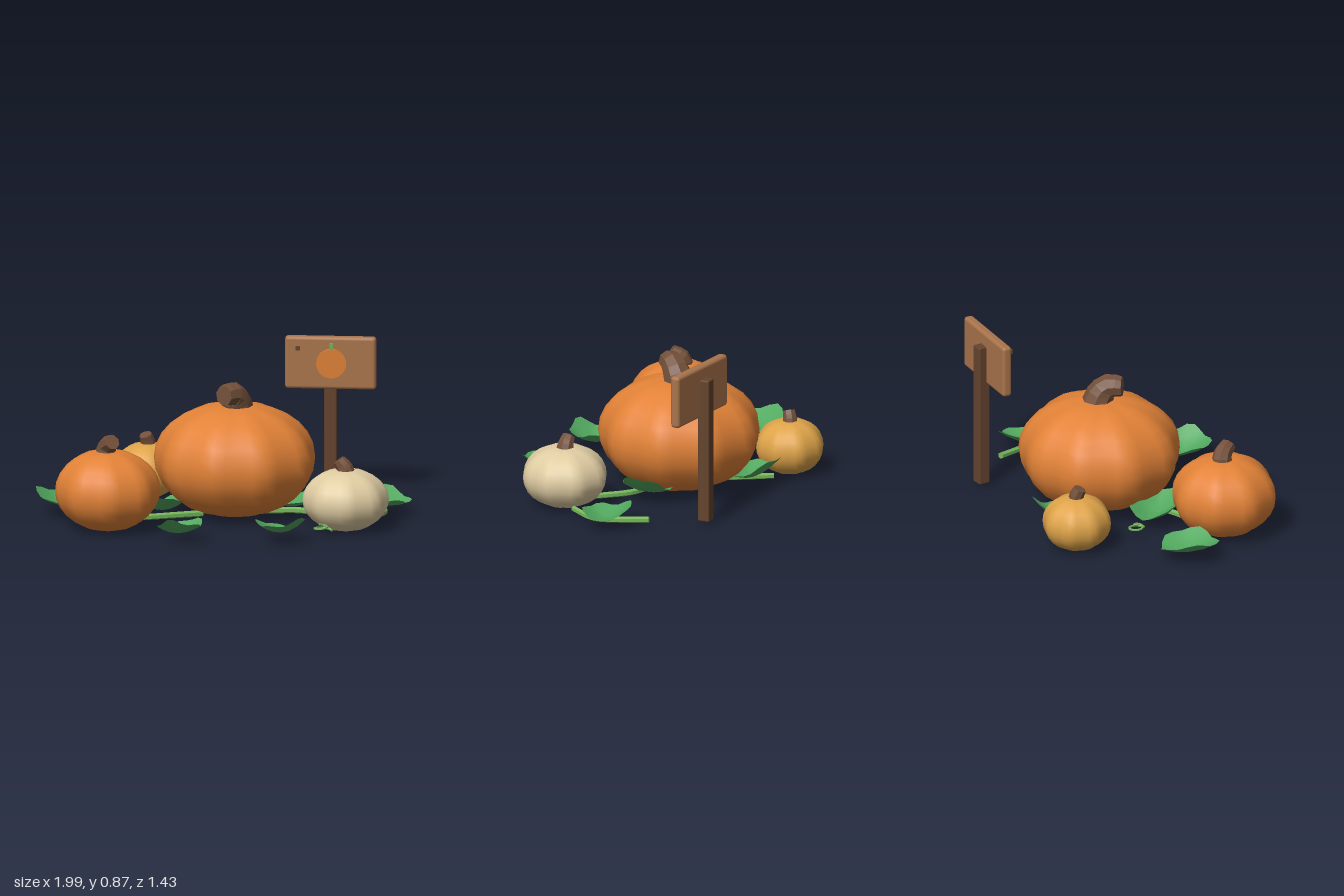
import * as THREE from 'three';
import { mergeVertices } from 'three/addons/utils/BufferGeometryUtils.js';
import { RoundedBoxGeometry } from 'three/addons/geometries/RoundedBoxGeometry.js';

const V = (p) => new THREE.Vector3(...p);

function makeMaterials() {
  const colors = {
    orange: 0xe28237, cream: 0xdfcca2, amber: 0xdea349, stemBrown: 0x73503a,
    postBrown: 0x66442f, boardBrown: 0xa9744c, leafGreen: 0x52a85f, vineGreen: 0x74b45a,
  };
  const mats = {};
  for (const [name, color] of Object.entries(colors)) {
    mats[name] = new THREE.MeshStandardMaterial({ color });
    mats[name].name = name;
  }
  mats.leafGreen.side = THREE.DoubleSide;
  return mats;
}

// Joins split seams and gives smooth normals
function smooth(geometry) {
  geometry.deleteAttribute('uv');
  geometry.deleteAttribute('normal');
  const g = mergeVertices(geometry, 1e-4);
  g.computeVertexNormals();
  return g;
}

// Ribbed body: a lathe whose vertices are pulled in at the grooves
function pumpkinGeometry(radius, height, ribs, turn) {
  const rows = 14, profile = [];
  for (let i = 0; i <= rows; i++) {
    const a = (i / rows - 0.5) * Math.PI;
    const r = i % rows === 0 ? 0 : radius * Math.pow(Math.cos(a), 0.92);
    let y = height / 2 * (1 + Math.sin(a));
    if (i === rows) y -= height * 0.03;
    if (i === 0) y += height * 0.02;
    profile.push(new THREE.Vector2(r, y));
  }
  const g = new THREE.LatheGeometry(profile, ribs * 4);
  const p = g.attributes.position;
  for (let i = 0; i < p.count; i++) {
    const x = p.getX(i), z = p.getZ(i);
    const rib = Math.abs(Math.cos((Math.atan2(x, z) + turn) * ribs / 2));
    const k = 1 - 0.075 * (1 - rib);
    p.setXYZ(i, x * k, p.getY(i), z * k);
  }
  return smooth(g);
}

// Tapered tube through points, closed at both ends
function taperedTube(points, r0, r1, sides, steps) {
  const curve = new THREE.CatmullRomCurve3(points.map(V));
  const g = new THREE.TubeGeometry(curve, steps, 1, sides);
  const p = g.attributes.position, v = new THREE.Vector3();
  for (let i = 0; i <= steps; i++) {
    const c = curve.getPointAt(i / steps);
    const r = r0 + (r1 - r0) * i / steps;
    for (let j = 0; j <= sides; j++) {
      const k = i * (sides + 1) + j;
      v.fromBufferAttribute(p, k).sub(c).multiplyScalar(r).add(c);
      p.setXYZ(k, v.x, v.y, v.z);
    }
  }
  const index = Array.from(g.index.array);
  const pos = Array.from(p.array);
  for (const i of [0, steps]) {
    const c = curve.getPointAt(i / steps);
    const centre = pos.push(c.x, c.y, c.z) / 3 - 1;
    for (let j = 0; j < sides; j++) {
      const a = i * (sides + 1) + j;
      index.push(centre, ...(i === 0 ? [a, a + 1] : [a + 1, a]));
    }
  }
  const out = new THREE.BufferGeometry();
  out.setAttribute('position', new THREE.Float32BufferAttribute(pos, 3));
  out.setIndex(index);
  const flat = out.toNonIndexed();
  flat.computeVertexNormals();
  return flat;
}

// Cupped, wavy five-lobed leaf, rising along (slopeX, slopeZ)
function leafGeometry(radius, turn, lift, slopeX, slopeZ) {
  const g = new THREE.RingGeometry(0.001, 1, 20, 3);
  g.rotateX(-Math.PI / 2);
  const p = g.attributes.position;
  for (let i = 0; i < p.count; i++) {
    const x = p.getX(i), z = p.getZ(i);
    const t = Math.hypot(x, z), a = Math.atan2(z, x) + turn;
    const k = radius * (0.96 + 0.06 * t * Math.cos(5 * a));
    const cup = 0.75 * t * t + 0.3 * t * t * Math.sin(2 * a) + 0.12 * t * t * Math.cos(5 * a);
    p.setXYZ(i, x * k, lift * cup + k * (x * slopeX + z * slopeZ), z * k);
  }
  return smooth(g);
}

export function createModel() {
  const group = new THREE.Group();
  group.name = 'pumpkinPatch';
  const M = makeMaterials();
  const add = (name, geometry, material, x = 0, y = 0, z = 0) => {
    const mesh = new THREE.Mesh(geometry, material);
    mesh.name = name;
    mesh.position.set(x, y, z);
    group.add(mesh);
    return mesh;
  };

  // Pumpkins with bent stems (stem points are world positions)
  const pumpkins = [
    { name: 'large', at: [0.06, -0.1], r: 0.435, h: 0.6, ribs: 9, turn: Math.PI, mat: M.orange, radii: [0.09, 0.054],
      stem: [[0.075, 0.55, -0.11], [0.068, 0.62, -0.09], [0.045, 0.665, -0.055], [-0.005, 0.668, 0]] },
    { name: 'medium', at: [-0.634, 0.232], r: 0.28, h: 0.43, ribs: 8, turn: 0, mat: M.orange, radii: [0.058, 0.042],
      stem: [[-0.645, 0.39, 0.215], [-0.638, 0.45, 0.22], [-0.612, 0.487, 0.275]] },
    { name: 'cream', at: [0.627, 0.305], r: 0.23, h: 0.33, ribs: 8, turn: 0, mat: M.cream, radii: [0.056, 0.034],
      stem: [[0.63, 0.29, 0.305], [0.62, 0.34, 0.302], [0.59, 0.38, 0.298]] },
    { name: 'amber', at: [-0.382, -0.537], r: 0.185, h: 0.295, ribs: 8, turn: 0, mat: M.amber, radii: [0.045, 0.034],
      stem: [[-0.38, 0.26, -0.54], [-0.382, 0.3, -0.538], [-0.395, 0.342, -0.525]] },
  ];
  for (const k of pumpkins) {
    add(k.name + 'Pumpkin', pumpkinGeometry(k.r, k.h, k.ribs, k.turn), k.mat, k.at[0], 0.002, k.at[1]);
    add(k.name + 'Stem', taperedTube(k.stem, ...k.radii, 8, 6), M.stemBrown);
  }

  // Signpost and turned board
  add('signPost', new RoundedBoxGeometry(0.066, 0.79, 0.066, 1, 0.008), M.postBrown, 0.587, 0.415, -0.505);
  const board = add('signBoard', new RoundedBoxGeometry(0.485, 0.285, 0.054, 2, 0.018),
    M.boardBrown, 0.587, 0.738, -0.465);
  board.rotation.y = -0.13;

  // Sign decoration and nail
  const disc = new THREE.CylinderGeometry(0.08, 0.08, 0.0095, 24);
  disc.rotateX(Math.PI / 2);
  add('signPumpkin', disc, M.orange, 0.587, 0.739, -0.428);
  add('signPumpkinStem', new THREE.BoxGeometry(0.018, 0.036, 0.0095), M.vineGreen, 0.587, 0.832, -0.428);
  add('signNail', new THREE.BoxGeometry(0.022, 0.022, 0.0095), M.postBrown, 0.41, 0.824, -0.433);

  // Leaves: x, z, radius, turn, lift, slopes
  const leaves = [
    [-0.84, -0.125, 0.16, 0.3, 0.07, -0.1, 0.05], [-0.335, 0.02, 0.16, 1.2, 0.1, 0, 0.25],
    [-0.1, -0.46, 0.145, 2.1, 0.08, 0, -0.25], [0.385, -0.065, 0.142, 0.8, 0.08, 0.22, 0],
    [0.86, -0.06, 0.137, 2.6, 0.06, -0.08, -0.12], [-0.265, 0.57, 0.123, 1.7, 0.07, 0.08, 0.22],
    [0.27, 0.583, 0.138, 0.4, 0.07, 0.05, 0.22],
  ];
  for (const [x, z, ...shape] of leaves) add('leaf', leafGeometry(...shape), M.leafGreen, x, 0.055, z);

  // Ground vines
  const vines = [
    [[0.2, 0.035, -0.03], [0.4, 0.045, 0.02], [0.5, 0.045, 0.12], [0.58, 0.04, 0.24]],
    [[0.775, 0.045, -0.26], [0.82, 0.035, -0.1], [0.85, 0.035, 0.03], [0.78, 0.045, 0.18]],
    [[0.0, 0.03, -0.1], [-0.08, 0.035, -0.33], [-0.2, 0.035, -0.53]],
    [[-0.12, 0.035, 0.02], [-0.32, 0.04, 0.09], [-0.52, 0.04, 0.14]],
  ];
  for (const points of vines) add('vine', taperedTube(points, 0.018, 0.016, 6, 14), M.vineGreen);

  // Curled tendrils: x, z, starting angle
  for (const [x, z, start] of [[-0.455, -0.2, 1.4], [0.49, 0.525, 0]]) {
    const points = [];
    for (let i = 0; i <= 20; i++) {
      const t = i / 20, a = start - t * Math.PI * 3.3, r = 0.052 * (1 - 0.8 * t);
      points.push([x + r * Math.cos(a), 0.05 + 0.035 * t, z + r * Math.sin(a)]);
    }
    add('tendril', taperedTube(points, 0.007, 0.005, 5, 40), M.vineGreen);
  }
  return group;
}
